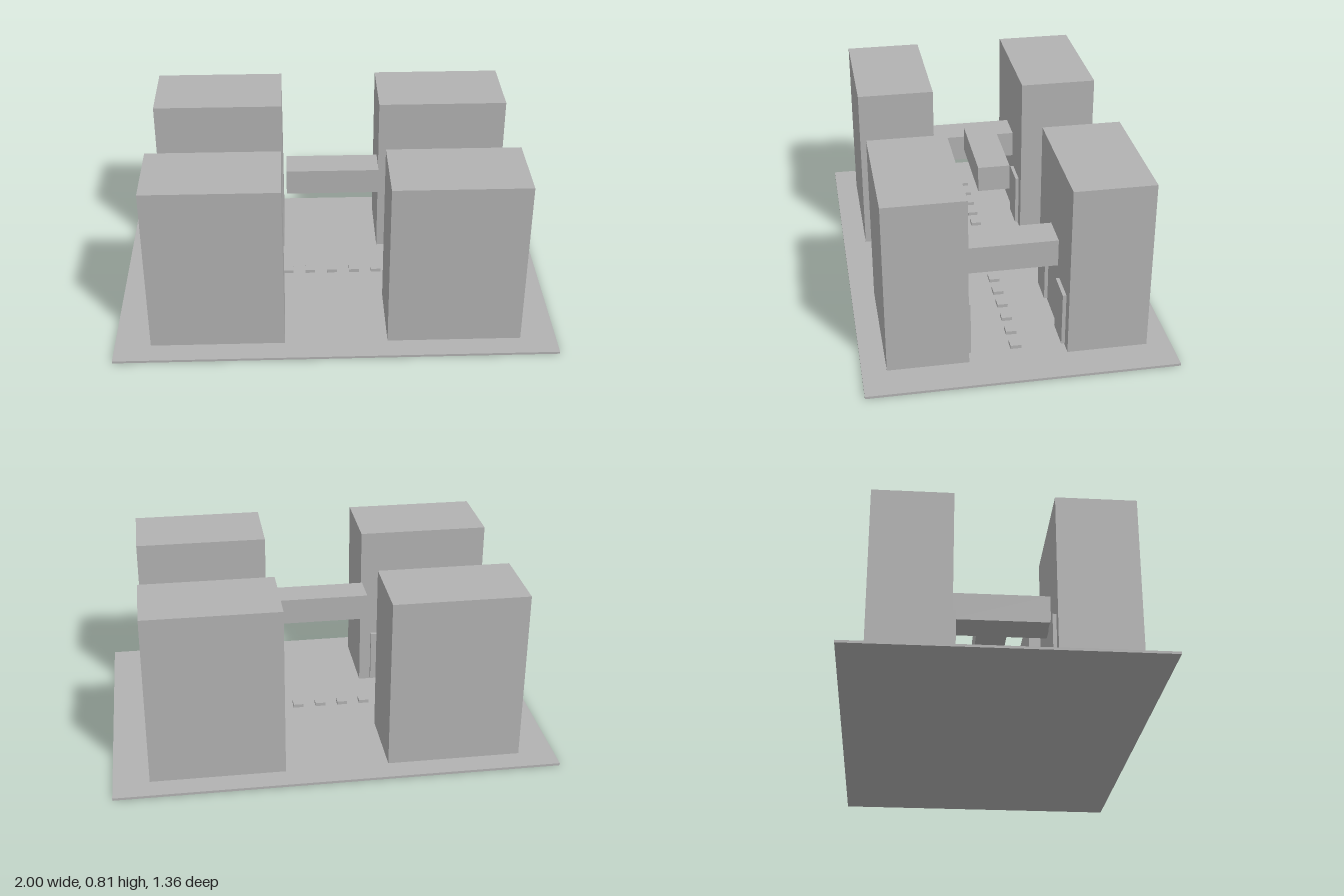
import * as THREE from 'three';

export function createModel() {
  const group = new THREE.Group();
  const grey = new THREE.MeshStandardMaterial({ color: 0xb2b2b2 });
  grey.name = 'plain grey';

  // Box given by its x, y and z extents
  function block(name, [x0, x1], [y0, y1], [z0, z1]) {
    const mesh = new THREE.Mesh(new THREE.BoxGeometry(x1 - x0, y1 - y0, z1 - z0), grey);
    mesh.position.set((x0 + x1) / 2, (y0 + y1) / 2, (z0 + z1) / 2);
    mesh.name = name;
    group.add(mesh);
  }
  const around = (c, size) => [c - size / 2, c + size / 2];

  const ground = 0.011;
  const blockX = 0.535;   // centre of each tower pair
  const innerZ = 0.216;   // tower wall facing the street
  const doorDepth = 0.016;

  block('groundSlab', [-1, 1], [0, ground], [-0.678, 0.678]);

  for (const sx of [-1, 1]) {
    const cx = sx * blockX;

    // Skywalk joining the front and back towers
    block('skywalk', around(cx, 0.155), [0.316, 0.443], [-innerZ, innerZ]);

    for (const sz of [-1, 1]) {
      block('tower', around(cx, 0.605), [ground, 0.805], around(sz * 0.3935, 0.355));

      // Two door panels on the street wall of each tower
      for (const dx of [-0.179, 0.179]) {
        block('doorPanel', around(cx + dx, 0.14), [0.02, 0.27],
          around(sz * (innerZ - doorDepth / 2), doorDepth));
      }
    }
  }

  // Suspended block in the middle
  block('hangingBlock', [-0.213, 0.213], [0.497, 0.616], [-0.072, 0.072]);

  // Row of paving blocks along the street
  for (let i = -7; i <= 7; i++) {
    block('pavingBlock', around(i * 0.1072, 0.048), [ground, 0.027], [-0.024, 0.024]);
  }

  return group;
}
